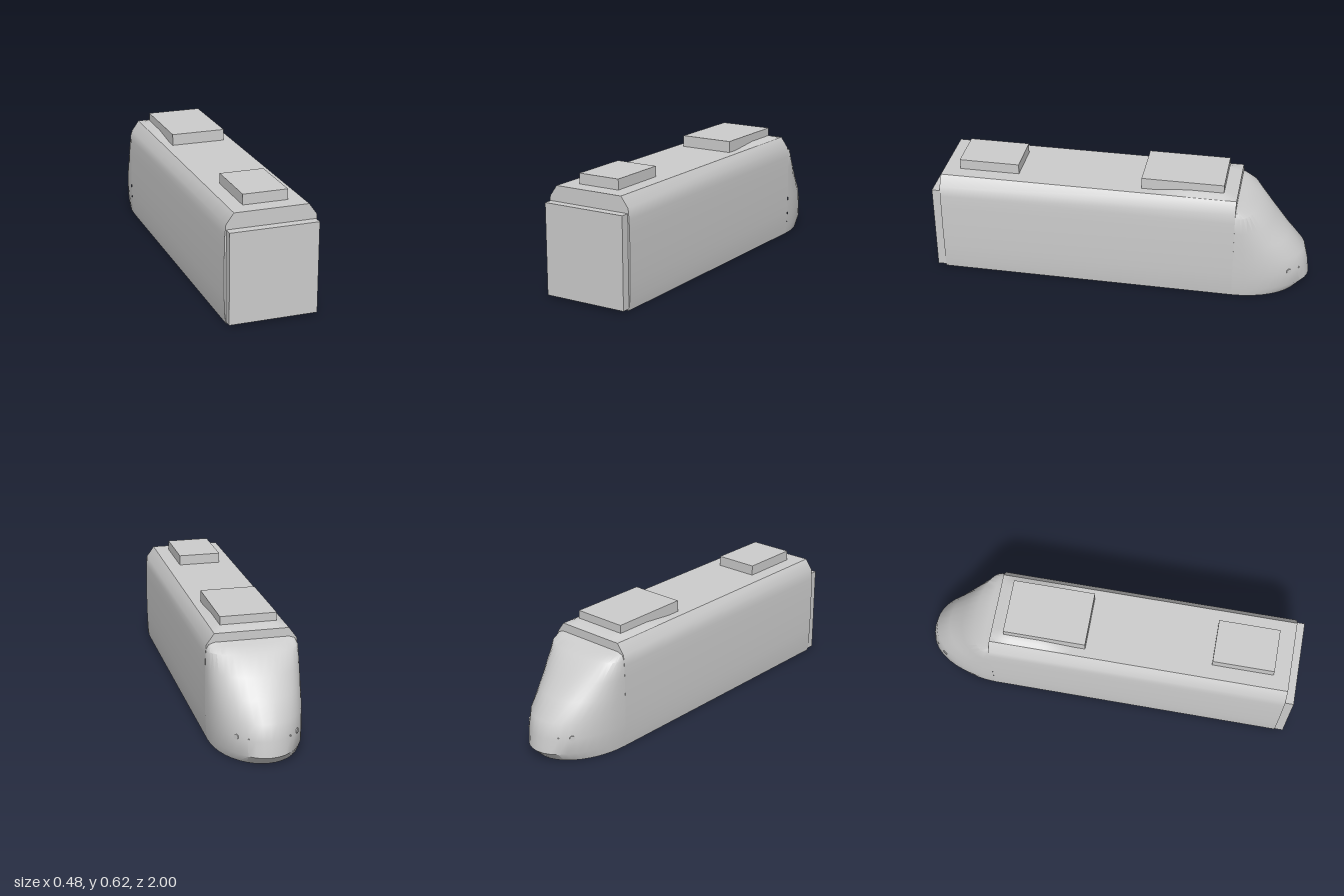
import * as THREE from 'three';
import { toCreasedNormals } from 'three/addons/utils/BufferGeometryUtils.js';

const BODY_FRONT = 0.955, BODY_REAR = -0.61;

// Surface through a grid of points; rows run upwards, columns counterclockwise from above
function grid(rows, cols, point) {
  const pos = [], index = [];
  for (let j = 0; j <= rows; j++)
    for (let i = 0; i <= cols; i++) pos.push(...point(j, i / cols));
  for (let j = 0; j < rows; j++)
    for (let i = 0; i < cols; i++) {
      const a = j * (cols + 1) + i, b = a + 1, c = a + cols + 1, d = c + 1;
      index.push(a, b, d, a, d, c);
    }
  const g = new THREE.BufferGeometry();
  g.setAttribute('position', new THREE.Float32BufferAttribute(pos, 3));
  g.setIndex(index);
  return g;
}

export function createModel() {
  const group = new THREE.Group();
  const grey = new THREE.MeshStandardMaterial({ color: 0xcccccc });
  grey.name = 'plain grey';
  const add = (name, geometry) => {
    const mesh = new THREE.Mesh(geometry, grey);
    mesh.name = name;
    group.add(mesh);
    return mesh;
  };
  const box = (name, halfWidth, y0, y1, z0, z1) =>
    add(name, new THREE.BoxGeometry(halfWidth * 2, y1 - y0, z1 - z0))
      .position.set(0, (y0 + y1) / 2, (z0 + z1) / 2);

  // Car body: bowed sides, chamfered shoulders, flat roof
  const side = [[0.227, 0], [0.233, 0.05], [0.2365, 0.14], [0.238, 0.25],
    [0.2365, 0.38], [0.235, 0.45], [0.23, 0.505], [0.19, 0.56]];
  const outline = [...side, ...side.map(([x, y]) => [-x, y]).reverse()];
  const section = new THREE.Shape(outline.map(([x, y]) => new THREE.Vector2(x, y)));
  const body = new THREE.ExtrudeGeometry(section,
    { depth: BODY_FRONT - BODY_REAR, bevelEnabled: false });
  body.translate(0, 0, BODY_REAR);
  add('carBody', toCreasedNormals(body, 0.7));

  // Streamlined nose: rounded plan outlines stacked by height
  // [height, half width, length, roundness exponent]
  const levels = [[0, 0, 0, 2], [0, 0.227, 0.34, 2], [0.05, 0.233, 0.39, 2],
    [0.13, 0.237, 0.38, 2], [0.21, 0.238, 0.36, 2], [0.3, 0.237, 0.275, 2.1],
    [0.39, 0.236, 0.195, 2.2], [0.48, 0.232, 0.11, 2.4], [0.505, 0.22, 0.04, 2.4],
    [0.515, 0.19, 0, 2.4]];
  const nose = grid(levels.length - 1, 20, (j, u) => {
    const [y, w, len, n] = levels[j];
    const c = Math.cos(u * Math.PI), s = Math.max(0, Math.sin(u * Math.PI));
    return [w * Math.sign(c) * Math.abs(c) ** (2 / n), y, BODY_REAR - len * s ** (2 / n)];
  });
  add('nose', toCreasedNormals(nose, 0.7));

  // Shallow raised fairing on the roof behind the nose
  const fairing = new THREE.PlaneGeometry(0.38, 0.44, 16, 12);
  fairing.rotateX(-Math.PI / 2).translate(0, 0.56, -0.39);
  const p = fairing.attributes.position;
  for (let i = 0; i < p.count; i++) {
    const across = Math.min(1, (0.19 - Math.abs(p.getX(i))) / 0.048);
    const z = p.getZ(i);
    const along = Math.min(1, (z + 0.61) / 0.07, (-0.17 - z) / 0.18);
    p.setY(i, 0.559 + 0.019 * across * along);
  }
  fairing.computeVertexNormals();
  add('roofFairing', fairing);

  // Gangway end and roof equipment
  box('gangway', 0.227, 0.01, 0.48, 0.95, 1);
  box('frontRoofUnit', 0.115, 0.555, 0.614, 0.55, 0.87);
  box('rearRoofUnit', 0.145, 0.555, 0.62, -0.54, -0.11);

  // Small lamps on both sides of the nose
  const lamps = [[0.151, -0.9, 0.014, 0.6], [0.103, -0.95, 0.005, 0.95]];
  for (const s of [1, -1])
    for (const [x, z, r, turn] of lamps) {
      const disc = new THREE.CylinderGeometry(r, r, 0.009, 16);
      disc.rotateZ(-Math.PI / 2);
      const lamp = add(s > 0 ? 'leftLamp' : 'rightLamp', disc);
      lamp.position.set(s * x, 0.135, z);
      lamp.rotation.y = s > 0 ? turn : Math.PI - turn;
    }
  return group;
}
